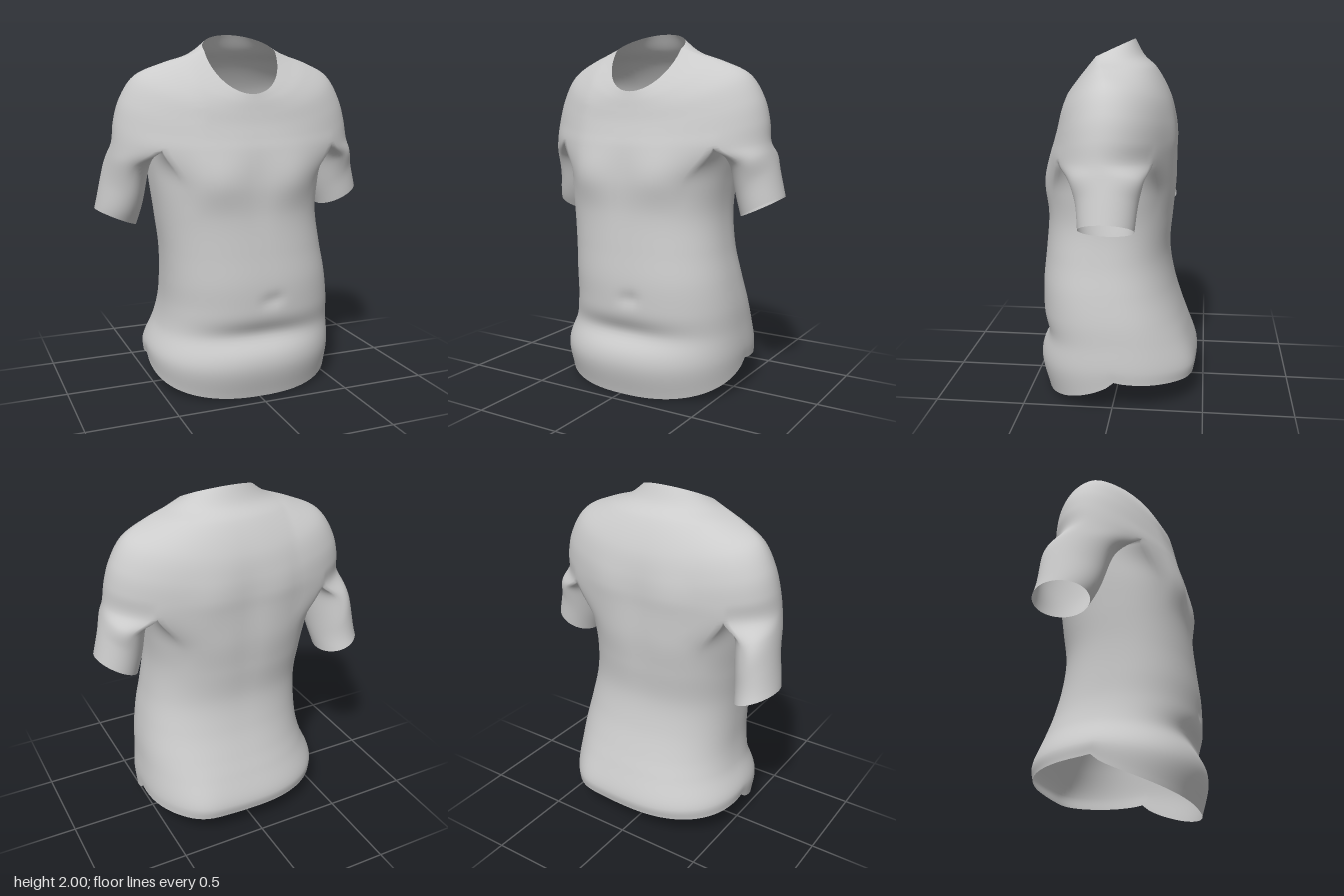
import * as THREE from 'three';
import { mergeVertices } from 'three/addons/utils/BufferGeometryUtils.js';

const COLUMNS = 96; // columns around the body
const HALF = 12; // columns from the middle of a sleeve to its front or back edge

// Rings: xMin, xMax, zFront, zBack, yFront, ySide, yBack, roundness, sag curve
// The ring at armpit height splits into the torso and the two sleeves
const split = [-0.7, 0.7, 0.385, -0.32, 1.38, 1.42, 1.38, 1, 1];

// Hem up to the chest
const torsoRings = [
  [-0.53, 0.56, 0.42, -0.45, 0.005, 0.185, 0.145, 0.85, 0.7],
  [-0.535, 0.565, 0.462, -0.46, 0.18, 0.25, 0.21, 0.85, 1],
  [-0.48, 0.555, 0.44, -0.41, 0.35, 0.38, 0.37, 0.85, 1],
  [-0.455, 0.545, 0.44, -0.37, 0.5, 0.5, 0.48, 0.85, 1],
  [-0.45, 0.52, 0.44, -0.32, 0.65, 0.65, 0.64, 0.85, 1],
  [-0.455, 0.485, 0.425, -0.29, 0.82, 0.82, 0.82, 0.85, 1],
  [-0.475, 0.46, 0.41, -0.305, 1.02, 1.02, 1.02, 0.83, 1],
  [-0.49, 0.47, 0.41, -0.32, 1.2, 1.2, 1.2, 0.77, 1],
];

// Shoulders up to the collar
const yokeRings = [
  split,
  [-0.685, 0.685, 0.365, -0.32, 1.45, 1.53, 1.47, 0.98, 1.3],
  [-0.65, 0.65, 0.345, -0.31, 1.52, 1.65, 1.57, 0.96, 1.5],
  [-0.57, 0.57, 0.332, -0.28, 1.58, 1.775, 1.69, 0.95, 1.5],
  [-0.42, 0.42, 0.322, -0.2, 1.63, 1.845, 1.84, 0.96, 1.4],
  [-0.3, 0.3, 0.315, -0.13, 1.66, 1.88, 1.91, 1, 1.2],
  [-0.21, 0.21, 0.31, -0.08, 1.68, 1.91, 2.0, 1, 1],
];

// Sleeves, cuff up to the armpit: outer x, y, inner x, y, z centre, half depth
const leftSleeve = [
  [0.78, 1.125, 0.55, 1.005, 0.01, 0.145],
  [0.745, 1.26, 0.52, 1.13, 0.01, 0.16],
  [0.72, 1.35, 0.505, 1.26, 0.015, 0.19],
];
const rightSleeve = [
  [0.78, 1.03, 0.55, 0.935, -0.145, 0.155],
  [0.75, 1.18, 0.525, 1.07, -0.085, 0.17],
  [0.72, 1.33, 0.505, 1.25, -0.015, 0.19],
];

const spow = (v, e) => Math.sign(v) * Math.abs(v) ** e;

// Point of a body ring on column i
function ringPoint([x0, x1, zf, zb, yf, ys, yb, e, q], i) {
  const a = (i / COLUMNS) * Math.PI * 2;
  const c = spow(Math.cos(a), e), s = spow(Math.sin(a), e);
  const y = ys + ((s > 0 ? yf : yb) - ys) * Math.abs(s) ** q;
  return new THREE.Vector3((x0 + x1) / 2 + (c * (x1 - x0)) / 2, y, (zf + zb) / 2 + (s * (zf - zb)) / 2);
}

// Armpit line joining the front and back edges of a sleeve; d runs from -HALF to HALF
function armpitPoint(centre, d) {
  const u = (d + HALF) / (2 * HALF);
  const p = ringPoint(split, centre - HALF).lerp(ringPoint(split, centre + HALF), u);
  p.y -= 0.02 * Math.sin(Math.PI * u);
  return p;
}

// Middle column of the nearest sleeve
const nearestSleeve = (i) => Math.round(i / (COLUMNS / 2)) * (COLUMNS / 2);

// Point of a sleeve ring on column m, where m = HALF is the outermost
function sleevePoint([ox, oy, ix, iy, zc, hz], side, m) {
  const t = ((m - HALF) / HALF) * (Math.PI / 2);
  const c = Math.cos(t);
  return new THREE.Vector3(
    side * ((ox + ix) / 2 + (c * (ox - ix)) / 2),
    (oy + iy) / 2 + (c * (oy - iy)) / 2,
    zc + side * hz * Math.sin(t));
}

// Each column lists its key points; those past the seam only set the slope there
function torsoColumn(i) {
  const centre = nearestSleeve(i), d = i - centre;
  const points = torsoRings.map((r) => ringPoint(r, i));
  if (Math.abs(d) < HALF) {
    const top = armpitPoint(centre, d);
    points.push(top, top.clone().setY(top.y + 0.08));
  } else {
    points.push(ringPoint(split, i), ringPoint(yokeRings[1], i));
  }
  return points;
}

function yokeColumn(i) {
  const centre = nearestSleeve(i), d = i - centre;
  const [rings, side] = centre === COLUMNS / 2 ? [rightSleeve, -1] : [leftSleeve, 1];
  const below = Math.abs(d) < HALF ? sleevePoint(rings[2], side, d + HALF) : ringPoint(torsoRings[7], i);
  return [below, ...yokeRings.map((r) => ringPoint(r, i))];
}

function sleeveColumn(rings, side, m) {
  const centre = side > 0 ? 0 : COLUMNS / 2;
  const points = rings.map((r) => sleevePoint(r, side, m));
  if (m <= 2 * HALF) {
    const i = centre + m - HALF;
    points.push(ringPoint(split, i), ringPoint(yokeRings[1], i));
  } else {
    const top = armpitPoint(centre, 3 * HALF - m);
    points.push(top, top.clone().setY(top.y + 0.08));
  }
  return points;
}

// Adds a smooth tube, leaving out the first or last key points of every column
function addLoft(pos, index, around, along, skipStart, skipEnd, column) {
  const base = pos.length / 3;
  for (let i = 0; i < around; i++) {
    const points = column(i), spans = points.length - 1;
    const curve = new THREE.CatmullRomCurve3(points);
    for (let j = 0; j <= along; j++) {
      const t = skipStart + (j / along) * (spans - skipStart - skipEnd);
      pos.push(...curve.getPoint(t / spans).toArray());
    }
  }
  const at = (i, j) => base + (i % around) * (along + 1) + j;
  for (let i = 0; i < around; i++) {
    for (let j = 0; j < along; j++) {
      index.push(at(i, j), at(i, j + 1), at(i + 1, j), at(i + 1, j), at(i, j + 1), at(i + 1, j + 1));
    }
  }
}

// Chest, navel, waistband, spine and shoulder blade relief; right shoulder set back
const bump = (x, y, cx, cy, rx, ry) => Math.exp(-(((x - cx) / rx) ** 2) - ((y - cy) / ry) ** 2);
function relief(x, y, z) {
  const w = z / 0.35, ax = Math.abs(x);
  const setBack = -0.15 * Math.max(0, -x - 0.3) * THREE.MathUtils.smoothstep(y, 1, 1.3);
  if (z > 0) {
    return setBack + w * (0.015 * bump(ax, y, 0.22, 1.24, 0.13, 0.13)
      - 0.005 * bump(x, y, 0, 1.2, 0.07, 0.2) - 0.012 * bump(x, y, 0.07, 0.56, 0.05, 0.04)
      - 0.032 * bump(x, y, 0, 0.36, 0.38, 0.07));
  }
  return setBack + w * (0.012 * bump(ax, y, 0.22, 1.45, 0.12, 0.15)
    - 0.01 * bump(x, y, 0, 1.3, 0.08, 0.35) + 0.03 * bump(x, y, 0.38, 0.15, 0.15, 0.25));
}

export function createModel() {
  const pos = [], index = [];
  // Torso, yoke and both sleeves share their seams
  addLoft(pos, index, COLUMNS, 64, 0, 1, torsoColumn);
  addLoft(pos, index, COLUMNS, 42, 1, 0, yokeColumn);
  addLoft(pos, index, 4 * HALF, 24, 0, 1, (m) => sleeveColumn(leftSleeve, 1, m));
  addLoft(pos, index, 4 * HALF, 24, 0, 1, (m) => sleeveColumn(rightSleeve, -1, m));
  for (let k = 0; k < pos.length; k += 3) pos[k + 2] += relief(pos[k], pos[k + 1], pos[k + 2]);

  let geometry = new THREE.BufferGeometry();
  geometry.setAttribute('position', new THREE.Float32BufferAttribute(pos, 3));
  geometry.setIndex(index);
  geometry = mergeVertices(geometry, 1e-4);
  geometry.computeVertexNormals();

  const shirt = new THREE.Mesh(geometry,
    new THREE.MeshStandardMaterial({ color: 0xcccccc, side: THREE.DoubleSide }));
  shirt.name = 'shirt';
  const model = new THREE.Group();
  model.name = 'shortSleevedShirt';
  model.add(shirt);
  return model;
}
